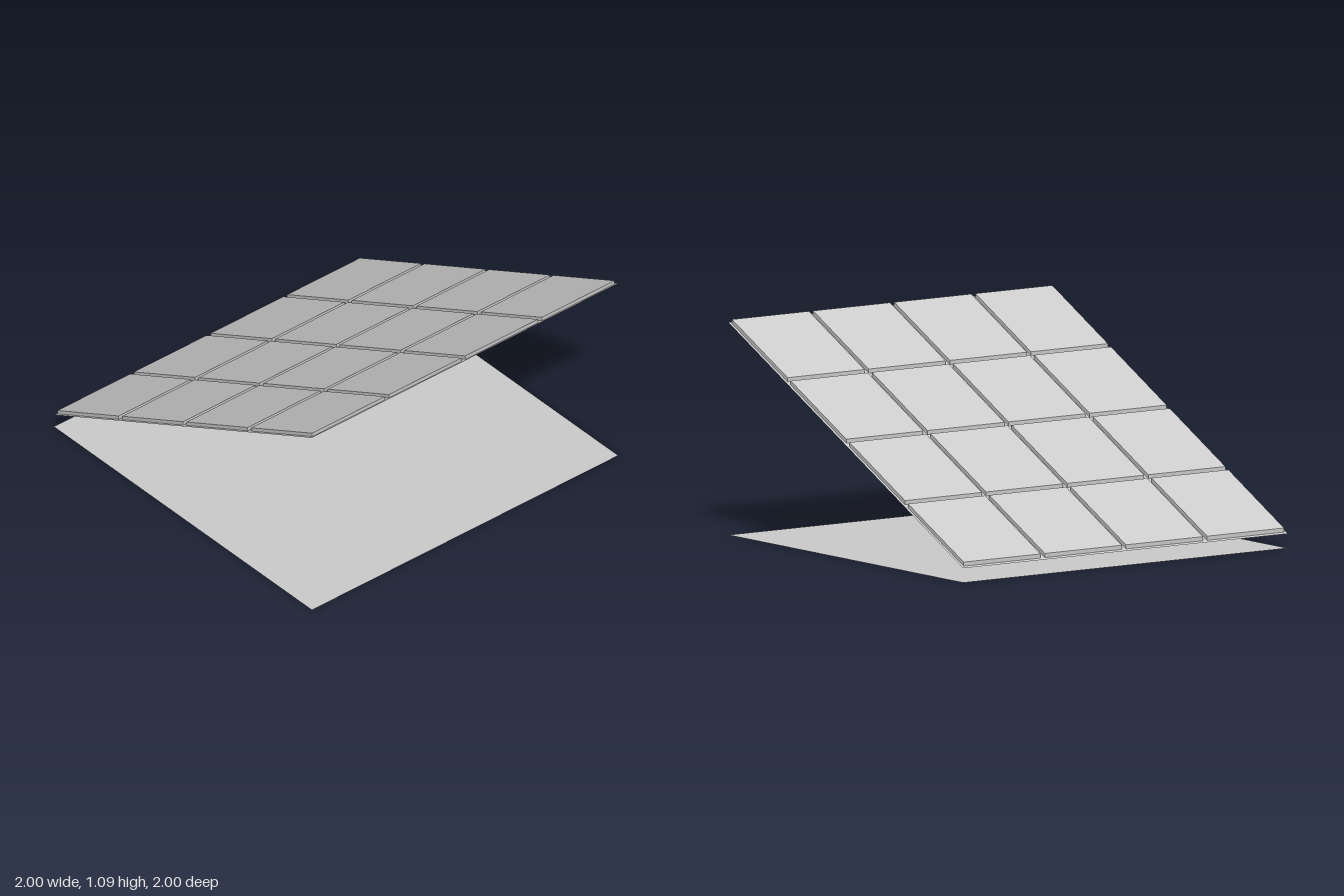
import * as THREE from 'three';

const SLOPE = 0.5;      // rise towards the front
const MID_HEIGHT = 0.573; // sheet height at z = 0
const TILE = 0.474;
const PITCH = 0.5;
const THICKNESS = 0.021;

// Lifts every vertex onto the slope, keeping the sides vertical
function shear(geometry) {
  const p = geometry.attributes.position;
  for (let i = 0; i < p.count; i++) {
    p.setY(i, p.getY(i) + MID_HEIGHT + SLOPE * p.getZ(i));
  }
  geometry.computeVertexNormals();
  return geometry;
}

export function createModel() {
  const model = new THREE.Group();
  model.name = 'tiledSlope';
  const grey = new THREE.MeshStandardMaterial({ color: 0xcccccc, side: THREE.DoubleSide });
  grey.name = 'light grey';

  function add(parent, geometry, name) {
    const mesh = new THREE.Mesh(geometry, grey);
    mesh.name = name;
    parent.add(mesh);
  }

  // Flat ground sheet and the sloping sheet that carries the tiles
  add(model, new THREE.PlaneGeometry(2, 2).rotateX(-Math.PI / 2), 'baseSheet');
  add(model, shear(new THREE.PlaneGeometry(2, 2).rotateX(-Math.PI / 2)), 'slopingSheet');

  // Four by four tiles with narrow gaps
  const tiles = new THREE.Group();
  tiles.name = 'tiles';
  model.add(tiles);
  for (let row = 0; row < 4; row++) {
    for (let col = 0; col < 4; col++) {
      const tile = new THREE.BoxGeometry(TILE, THICKNESS, TILE);
      tile.translate((col - 1.5) * PITCH, THICKNESS / 2 + 0.001, (row - 1.5) * PITCH);
      add(tiles, shear(tile), `tileRow${row + 1}Column${col + 1}`);
    }
  }
  return model;
}
